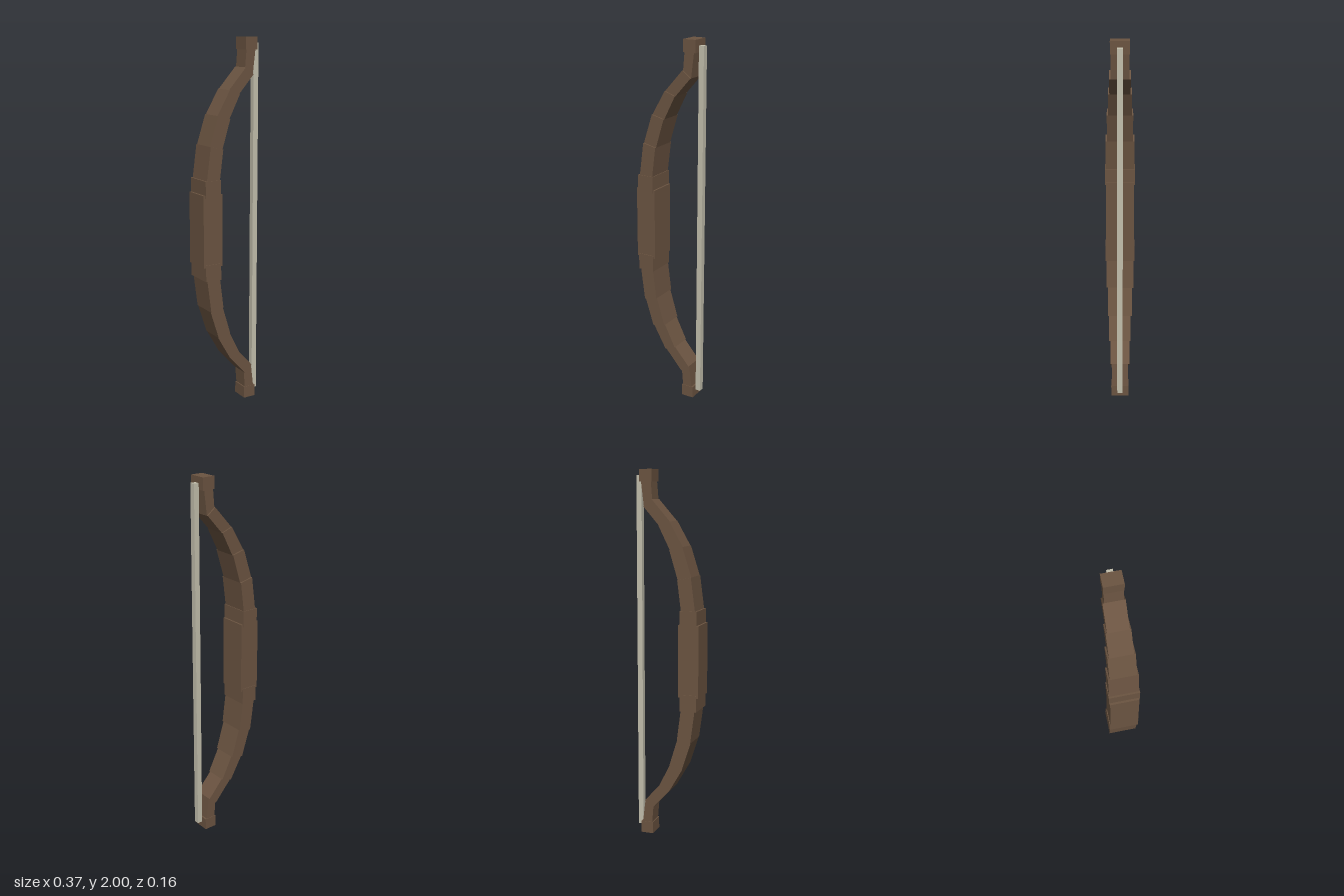
import * as THREE from 'three';

const wood = new THREE.MeshStandardMaterial({ color: 0x6b5441 });
wood.name = 'brown wood';
const cord = new THREE.MeshStandardMaterial({ color: 0xc2beac });
cord.name = 'pale cord';

// Box given by its x and y limits and half depth
function block(name, material, x0, x1, y0, y1, halfDepth) {
  const mesh = new THREE.Mesh(new THREE.BoxGeometry(x1 - x0, y1 - y0, halfDepth * 2), material);
  mesh.position.set((x0 + x1) / 2, (y0 + y1) / 2, 0);
  mesh.name = name;
  return mesh;
}

// Joints of the upper limb: [outer x, outer y, inner x, inner y]
const joints = [
  [-0.168, 1.25, -0.09, 1.25],
  [-0.142, 1.447, -0.067, 1.43],
  [-0.092, 1.603, -0.02, 1.585],
  [-0.018, 1.732, 0.043, 1.71],
  [0.083, 1.845, 0.13, 1.808],
  [0.091, 1.94, 0.146, 1.94],
];
const halfDepths = [0.077, 0.069, 0.061, 0.054, 0.046];

// One limb segment between two joints; side is 1 for upper, -1 for lower
function limbSegment(i, side) {
  const a = joints[i], b = joints[i + 1], d = halfDepths[i];
  const corners = [[a[0], a[1]], [a[2], a[3]], [b[2], b[3]], [b[0], b[1]]];
  const shape = new THREE.Shape(corners.map(([x, y]) => new THREE.Vector2(x, 1 + side * (y - 1))));
  const geometry = new THREE.ExtrudeGeometry(shape, { depth: d * 2, bevelEnabled: false });
  geometry.translate(0, 0, -d);
  const mesh = new THREE.Mesh(geometry, wood);
  mesh.name = 'limbSegment' + (i + 1);
  return mesh;
}

export function createModel() {
  const model = new THREE.Group();
  model.name = 'bow';

  // Grip and string
  model.add(block('grip', wood, -0.186, -0.073, 0.805, 1.195, 0.077));
  model.add(block('string', cord, 0.155, 0.184, 0.035, 1.968, 0.015));

  // Mirrored limbs, each with a collar, five segments and a tip
  for (const side of [1, -1]) {
    const limb = new THREE.Group();
    limb.name = side > 0 ? 'upperLimb' : 'lowerLimb';
    const span = (y0, y1) => (side > 0 ? [y0, y1] : [2 - y1, 2 - y0]);
    limb.add(block('collar', wood, -0.175, -0.083, ...span(1.18, 1.27), 0.081));
    for (let i = 0; i < halfDepths.length; i++) limb.add(limbSegment(i, side));
    limb.add(block('tip', wood, 0.085, 0.155, ...span(1.935, 2), 0.049));
    model.add(limb);
  }
  return model;
}
